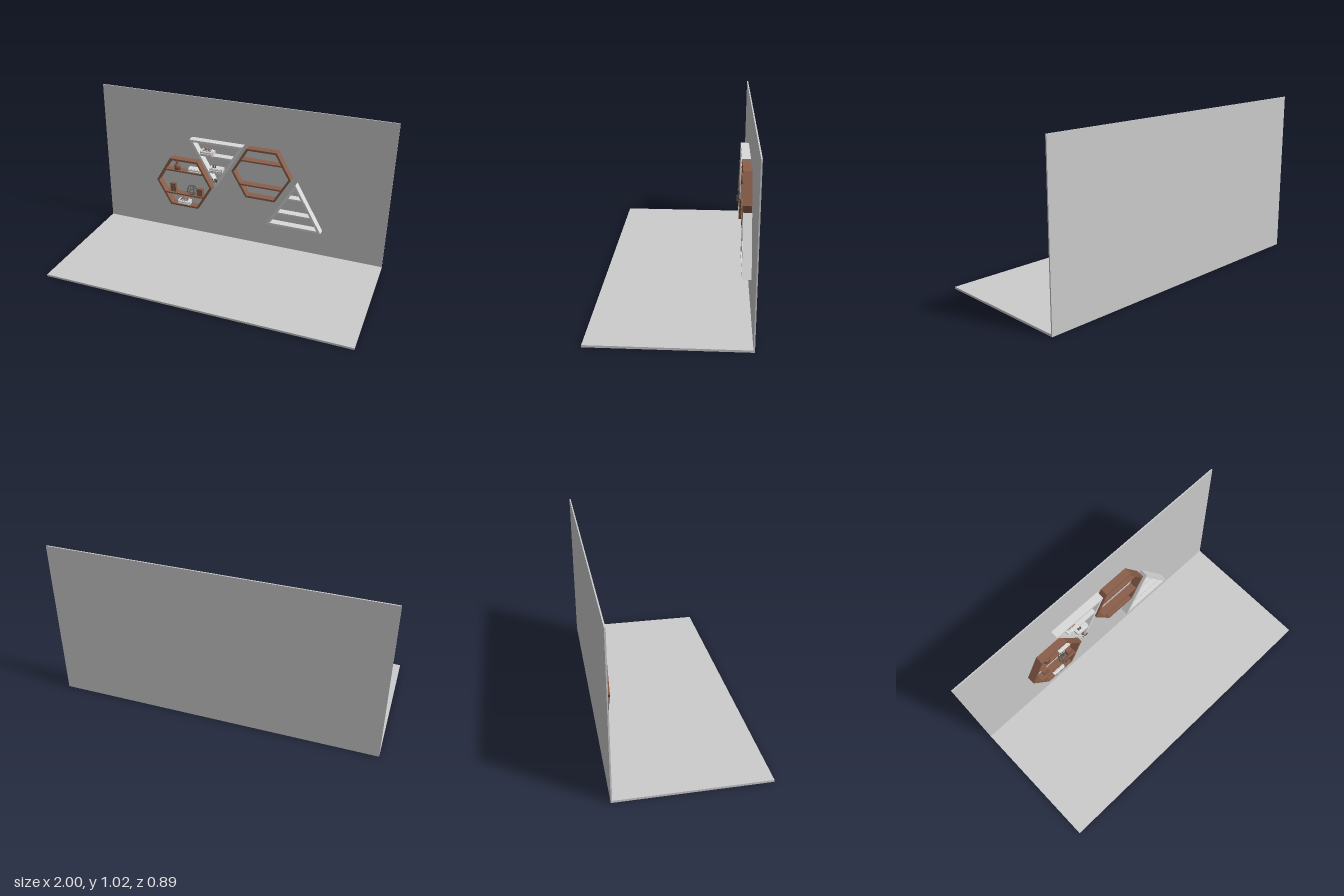
import * as THREE from 'three';

const mat = (name, color) => {
  const m = new THREE.MeshStandardMaterial({ color });
  m.name = name;
  return m;
};

export function createModel() {
  const wallGrey = mat('wall grey', 0xcccccc);
  const paleGrey = mat('pale shelf grey', 0xdadada);
  const wood = mat('brown wood', 0x8a5f4a);
  const darkMetal = mat('dark metal', 0x5c5a58);
  const model = new THREE.Group();
  const BACK = -0.435, DEPTH = 0.053, MID = BACK + DEPTH / 2;

  const add = (parent, name, geo, material, x = 0, y = 0, z = 0) => {
    const m = new THREE.Mesh(geo, material);
    m.name = name;
    m.position.set(x, y, z);
    parent.add(m);
    return m;
  };
  const group = (name, x, y, z = 0) => {
    const g = new THREE.Group();
    g.name = name;
    g.position.set(x, y, z);
    model.add(g);
    return g;
  };
  const box = (w, h, d) => new THREE.BoxGeometry(w, h, d);

  // Room
  add(model, 'floor', box(2, 0.013, 0.886), wallGrey, 0, 0.0065, 0);
  add(model, 'wall', box(2, 1.007, 0.008), wallGrey, 0, 0.5165, -0.439);

  // Regular polygon frame, open front and back
  const ring = (n, r, start) => Array.from({ length: n }, (_, i) => {
    const a = start + i * 2 * Math.PI / n;
    return new THREE.Vector2(r * Math.cos(a), r * Math.sin(a));
  });
  const frame = (parent, n, r, t, start, material) => {
    const s = new THREE.Shape(ring(n, r, start));
    s.holes.push(new THREE.Path(ring(n, r - t / Math.cos(Math.PI / n), start)));
    add(parent, 'frame', new THREE.ExtrudeGeometry(s, { depth: DEPTH, bevelEnabled: false }), material, 0, 0, BACK);
  };

  // Hexagonal shelves
  for (const [x, y] of [[-0.388, 0.397], [0.163, 0.555]]) {
    const g = group('hexagonShelf', x, y);
    frame(g, 6, 0.204, 0.013, 0, wood);
    for (const s of [-1, 1]) add(g, 'board', box(0.29, 0.01, DEPTH - 0.002), wood, 0, s * 0.087, MID);
  }

  // Triangular shelves, the first one upside down
  for (const [x, y, dir] of [[-0.155, 0.626, -1], [0.399, 0.311, 1]]) {
    const R = 0.216, g = group('triangleShelf', x, y);
    frame(g, 3, R, 0.015, dir * Math.PI / 2, paleGrey);
    for (const h of [0.1, 0.216]) {
      const w = 2 * (1.5 * R - h) / Math.sqrt(3) - 0.025;
      add(g, 'board', box(w, 0.01, DEPTH - 0.002), paleGrey, 0, dir * (h - R / 2), MID);
    }
  }

  // Ribbed boxes with a brown lid
  const caddy = (x, y, lid) => {
    const g = group('displayBox', x, y, MID);
    add(g, 'body', box(0.09, 0.028, 0.046), paleGrey, 0, 0.014, 0);
    for (const h of [0.008, 0.02]) {
      const rib = add(g, 'rib', new THREE.CylinderGeometry(0.007, 0.007, 0.08, 10), paleGrey, 0, h, 0.0225);
      rib.rotation.z = Math.PI / 2;
    }
    if (lid) {
      add(g, 'lidRim', box(0.062, 0.008, 0.034), paleGrey, 0, 0.032, 0);
      add(g, 'lid', box(0.052, 0.002, 0.026), wood, 0, 0.0365, 0);
    }
    return g;
  };
  caddy(-0.395, 0.232, true);
  caddy(-0.313, 0.489, false);
  caddy(-0.22, 0.636, true);
  const figureBox = caddy(-0.155, 0.522, false);
  for (const x of [-0.021, -0.006]) {
    add(figureBox, 'ornamentBase', new THREE.CylinderGeometry(0.004, 0.006, 0.012, 8), darkMetal, x, 0.034, 0.01);
    add(figureBox, 'ornamentTop', new THREE.SphereGeometry(0.006, 8, 6), darkMetal, x, 0.043, 0.01);
  }

  // Bottle
  const bottle = [[0, 0], [0.022, 0], [0.022, 0.028], [0.017, 0.036], [0.008, 0.041], [0.008, 0.052], [0.011, 0.053], [0.011, 0.06], [0, 0.06]];
  add(model, 'bottle', new THREE.LatheGeometry(bottle.map(p => new THREE.Vector2(...p)), 20), wood, -0.446, 0.489, MID);

  // Leaning photo block and small block
  const block = add(model, 'leaningBlock', box(0.04, 0.06, 0.022), wood, -0.478, 0.346, MID);
  block.rotation.z = 0.08;
  add(model, 'smallBlock', box(0.038, 0.053, 0.03), wood, -0.276, 0.341, MID);

  // Wire globe
  const globe = group('wireGlobe', -0.335, 0.353, -0.395);
  const R = 0.034;
  for (let i = 0; i < 4; i++) {
    const m = add(globe, 'meridian', new THREE.TorusGeometry(R, 0.0014, 5, 24), darkMetal);
    m.rotation.y = i * Math.PI / 4;
  }
  for (const h of [-0.5, 0, 0.5]) {
    const m = add(globe, 'parallel', new THREE.TorusGeometry(R * Math.sqrt(1 - h * h), 0.0014, 5, 24), darkMetal, 0, h * R, 0);
    m.rotation.x = Math.PI / 2;
  }

  // Small hanging ornament in the tip of the inverted triangle
  const tip = group('tipOrnament', -0.155, 0.44, -0.382);
  add(tip, 'stem', new THREE.CylinderGeometry(0.01, 0.005, 0.035, 8), wood, 0, 0.012, -0.012);
  for (const s of [-1, 0, 1]) {
    const spike = add(tip, 'spike', new THREE.ConeGeometry(0.005, 0.04, 6), darkMetal, s * 0.011, 0.02, 0.008);
    spike.rotation.set(Math.PI + 0.25, 0, s * 0.3);
  }
  return model;
}
